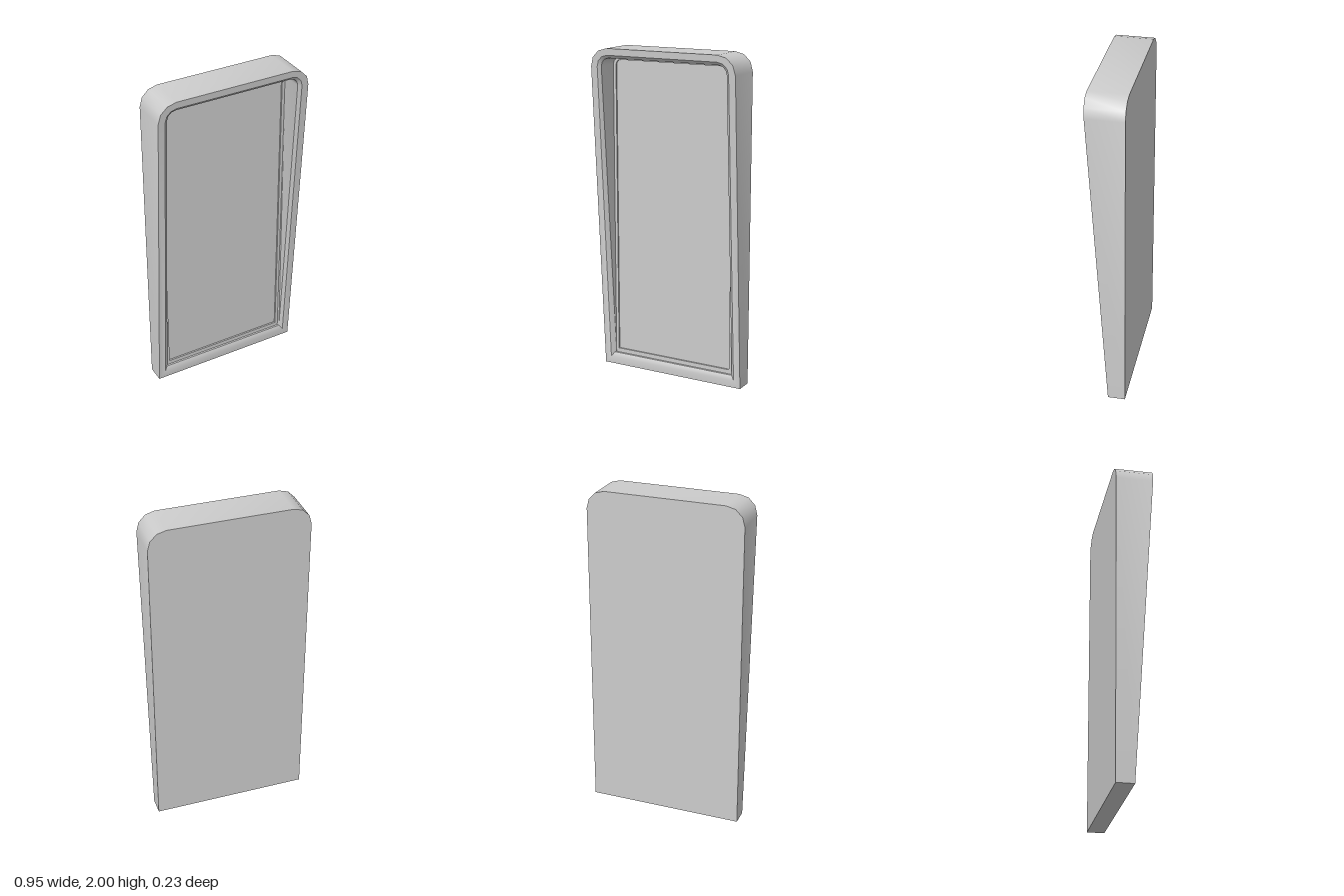
import * as THREE from 'three';
import { toCreasedNormals } from 'three/addons/utils/BufferGeometryUtils.js';

const BACK = -0.115, LEDGE = -0.03, PANEL = -0.04;
const CORNER_STEPS = 3;
const frontZ = (y) => -0.01 + 0.0627 * y; // sloping front face

// Counter-clockwise outline: square bottom corners, rounded top corners.
function ring(halfWidth, bottom, top, radius, depthAt) {
  const points = [[-halfWidth, bottom], [halfWidth, bottom]];
  for (const side of [0, 1]) {
    const cx = (side ? -1 : 1) * (halfWidth - radius);
    for (let i = 0; i <= CORNER_STEPS; i++) {
      const a = (side + i / CORNER_STEPS) * Math.PI / 2;
      points.push([cx + radius * Math.cos(a), top - radius + radius * Math.sin(a)]);
    }
  }
  return points.map(([x, y]) => new THREE.Vector3(x, y, depthAt(y)));
}

// Joins consecutive rings with quads.
function bridge(rings) {
  const tris = [];
  for (let r = 0; r + 1 < rings.length; r++) {
    const a = rings[r], b = rings[r + 1];
    a.forEach((p, i) => {
      const j = (i + 1) % a.length;
      tris.push(p, a[j], b[j], p, b[j], b[i]);
    });
  }
  return tris;
}

// Fills a convex ring with a fan.
function cap(points) {
  const tris = [];
  for (let i = 1; i + 1 < points.length; i++) tris.push(points[0], points[i], points[i + 1]);
  return tris;
}

function makeMesh(name, tris, material) {
  const geometry = toCreasedNormals(new THREE.BufferGeometry().setFromPoints(tris), 0.55);
  const mesh = new THREE.Mesh(geometry, material);
  mesh.name = name;
  return mesh;
}

export function createModel() {
  const group = new THREE.Group();
  group.name = 'wedgeFrame';
  const material = new THREE.MeshStandardMaterial({ color: 0xcccccc });

  const outerBack = ring(0.473, 0, 2, 0.11, () => BACK);
  const outerFront = ring(0.473, 0, 2, 0.11, frontZ);
  const rimInner = ring(0.431, 0.045, 1.96, 0.07, frontZ);
  const bevel = ring(0.412, 0.072, 1.942, 0.052, (y) => frontZ(y) - 0.015);
  const ledgeOuter = ring(0.405, 0.074, 1.936, 0.045, () => LEDGE);
  const ledgeInner = ring(0.387, 0.1, 1.92, 0.03, () => LEDGE);
  const panelEdge = ring(0.387, 0.1, 1.92, 0.03, () => PANEL);

  // Tapered sides, front rim, shallow bevel, inner wall and ledge
  group.add(makeMesh('frame', bridge([outerBack, outerFront, rimInner, bevel, ledgeOuter, ledgeInner, panelEdge]), material));
  // Recessed flat panel
  group.add(makeMesh('panel', cap(panelEdge), material));
  // Flat back
  group.add(makeMesh('backPlate', cap([...outerBack].reverse()), material));
  return group;
}
